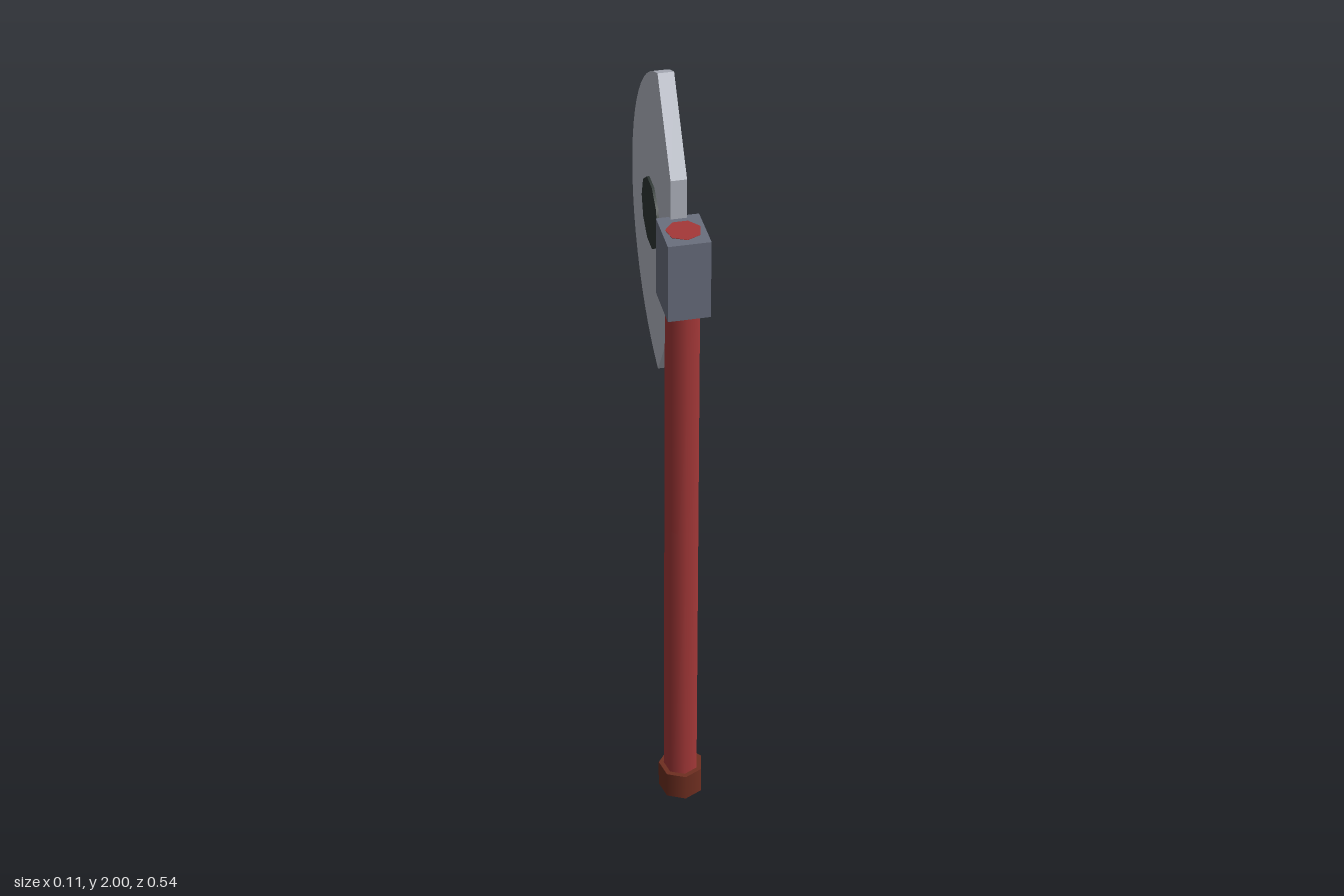
import * as THREE from 'three';

const material = (name, color) => {
  const m = new THREE.MeshStandardMaterial({ color });
  m.name = name;
  return m;
};

export function createModel() {
  const group = new THREE.Group();
  const red = material('red handle', 0xa43838);
  const brown = material('brown cap', 0x6e2e20);
  const iron = material('dark iron', 0x6a6f7e);
  const steel = material('pale steel', 0xb4b8c3);
  const black = material('dark boss', 0x2e3734);

  const add = (name, geometry, mat, x, y, z) => {
    const mesh = new THREE.Mesh(geometry, mat);
    mesh.name = name;
    mesh.position.set(x, y, z);
    group.add(mesh);
    return mesh;
  };

  const shaftZ = 0.207;

  // Seven-sided shaft, its tip just proud of the socket
  add('handle', new THREE.CylinderGeometry(0.042, 0.045, 1.671, 7), red, 0, 0.8655, shaftZ);
  add('pommelCap', new THREE.CylinderGeometry(0.058, 0.058, 0.076, 7), brown, 0, 0.038, shaftZ);

  // Square socket that holds the blade
  add('socket', new THREE.BoxGeometry(0.1, 0.2, 0.125), iron, 0, 1.6, 0.2055);

  // Blade outline: shape x runs towards the back (-z), shape y is up
  const radius = 0.422, half = Math.asin(0.4 / radius);
  const outline = new THREE.Shape();
  outline.moveTo(-0.155, 0.2);
  outline.lineTo(-0.155, -0.2);
  outline.lineTo(-0.02, -0.4);
  outline.absarc(-0.154, 0, radius, -half, half, false);
  outline.closePath();
  const bladeGeometry = new THREE.ExtrudeGeometry(outline, { depth: 0.038, bevelEnabled: false, curveSegments: 12 });
  bladeGeometry.translate(0, 0, -0.019);
  bladeGeometry.rotateY(Math.PI / 2);
  add('blade', bladeGeometry, steel, 0, 1.6, 0);

  // Round boss through both faces of the blade
  const boss = add('boss', new THREE.CylinderGeometry(0.0875, 0.0875, 0.05, 10), black, 0, 1.6, -0.044);
  boss.rotation.z = Math.PI / 2;

  return group;
}
